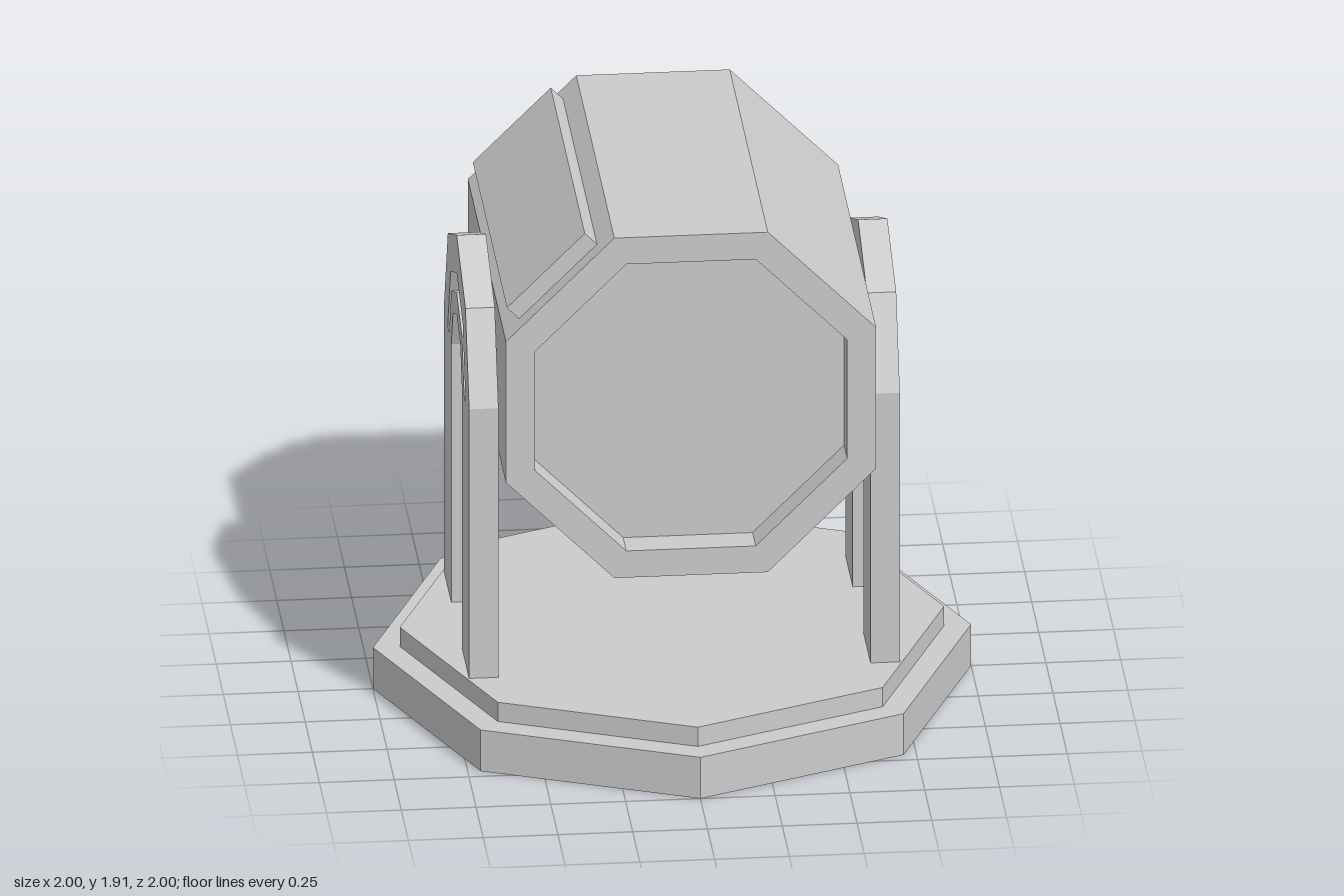
import * as THREE from 'three';

const material = new THREE.MeshStandardMaterial({ color: 0xcccccc, flatShading: true });
const COS = Math.cos(Math.PI / 8); // apothem / radius of an octagon

function add(parent, name, geometry, x = 0, y = 0, z = 0) {
  const mesh = new THREE.Mesh(geometry, material);
  mesh.name = name;
  mesh.position.set(x, y, z);
  parent.add(mesh);
  return mesh;
}

// Mirrors a half profile (ending on the centre line) into a full arch
function mirrored(half) {
  return [...half, ...half.slice(0, -1).reverse().map(([u, v]) => [-u, v])];
}

function toVectors(points) {
  return points.map(([u, v]) => new THREE.Vector2(u, v));
}

// Arched support with an open centre and a curved slot
function archGeometry() {
  const outer = mirrored([[0.44, 0.21], [0.44, 1.2], [0.31, 1.51], [0, 1.64]]);
  const inner = mirrored([[0.187, 0.21], [0.187, 1.16], [0.13, 1.297], [0, 1.352]]);
  const shape = new THREE.Shape(toVectors([...outer, ...inner.reverse()]));
  const slotOuter = mirrored([[0.315, 1.17], [0.215, 1.413], [0, 1.502]]);
  const slotInner = mirrored([[0.262, 1.17], [0.187, 1.355], [0, 1.43]]);
  shape.holes.push(new THREE.Path(toVectors([...slotOuter, ...slotInner.reverse()])));
  return new THREE.ExtrudeGeometry(shape, { depth: 0.098, bevelEnabled: false }).rotateY(Math.PI / 2);
}

export function createModel() {
  const model = new THREE.Group();
  model.name = 'spotlight';

  // Two-step octagonal base
  add(model, 'basePlate', new THREE.CylinderGeometry(1, 1, 0.15, 8), 0, 0.075);
  add(model, 'baseStep', new THREE.CylinderGeometry(0.91, 0.91, 0.07, 8), 0, 0.185);

  // Supports on both sides
  const arch = archGeometry();
  add(model, 'leftSupport', arch, 0.622);
  add(model, 'rightSupport', arch, -0.72);

  // Lamp head, its axis along z
  const head = new THREE.Group();
  head.name = 'lampHead';
  head.position.y = 1.287;
  model.add(head);

  const outerR = 0.619 / COS;
  const innerR = 0.522 / COS;
  const profile = toVectors([[innerR, -0.67], [outerR, -0.67], [outerR, 0.67], [innerR, 0.67], [innerR, 0.56]]);
  add(head, 'housing', new THREE.LatheGeometry(profile, 8, Math.PI / 8).rotateX(Math.PI / 2));
  add(head, 'lens', new THREE.CircleGeometry(innerR, 8, Math.PI / 8), 0, 0, 0.56);
  add(head, 'backCap',
    new THREE.CylinderGeometry(innerR, innerR, 0.11, 8, 1, false, Math.PI / 8).rotateX(Math.PI / 2), 0, 0, -0.725);

  // Raised panel on the upper right facet
  const offset = 0.647 * Math.SQRT1_2;
  add(head, 'sidePanel', new THREE.BoxGeometry(0.368, 0.06, 1.2), -offset, offset).rotation.z = Math.PI / 4;

  return model;
}
